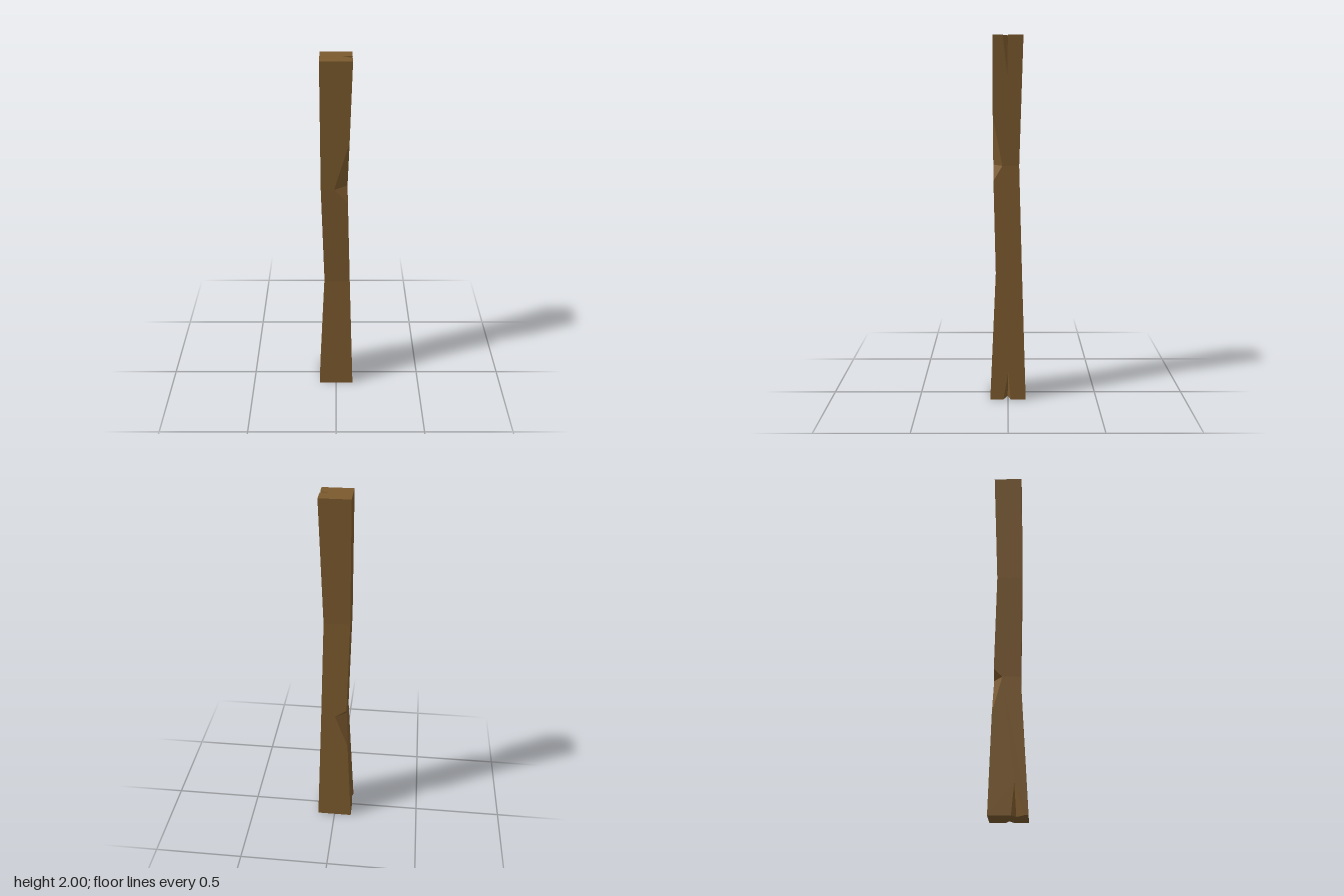
import * as THREE from 'three';

// Cross-sections of the crooked post: height, x range, z range
const sections = [
  { y: 0, x: [-0.1, 0.1], z: [-0.1, 0.1] },
  { y: 0.73, x: [-0.065, 0.077], z: [-0.077, 0.067] },
  { y: 1.32, x: [-0.08, 0.06], z: [-0.06, 0.08] },
  { y: 2, x: [-0.081, 0.08], z: [-0.08, 0.081] },
];

// Maps (u, y, w), with u and w running -1..1 across the section, onto the post
function place([u, y, w]) {
  let i = 0;
  while (i < 2 && y > sections[i + 1].y) i++;
  const a = sections[i], b = sections[i + 1];
  const k = (y - a.y) / (b.y - a.y);
  const across = (axis, t) => THREE.MathUtils.lerp(
    THREE.MathUtils.lerp(a[axis][0], b[axis][0], k),
    THREE.MathUtils.lerp(a[axis][1], b[axis][1], k), (t + 1) / 2);
  return new THREE.Vector3(across('x', u), y, across('z', w));
}

export function createModel() {
  const positions = [];

  // One triangle, wound so that its front faces the target point
  function triangle(corners, target) {
    const p = corners.map(place);
    const normal = p[1].clone().sub(p[0]).cross(p[2].clone().sub(p[0]));
    if (normal.dot(target.clone().sub(p[0])) < 0) p.reverse();
    p.forEach((v) => positions.push(v.x, v.y, v.z));
  }

  // Flat outline, triangulated in 2D and lifted onto the post
  function panel(outline, lift, target) {
    const flat = outline.map(([s, t]) => new THREE.Vector2(s, t));
    if (THREE.ShapeUtils.isClockWise(flat)) flat.reverse();
    for (const f of THREE.ShapeUtils.triangulateShape(flat, [])) {
      triangle(f.map((i) => lift(flat[i].x, flat[i].y)), target);
    }
  }

  const front = (t, y) => [t, y, 1];
  const back = (t, y) => [t, y, -1];
  const right = (t, y) => [1, y, t];
  const left = (t, y) => [-1, y, t];
  const outward = (x, y, z) => new THREE.Vector3(x, y, z).multiplyScalar(50);

  // Side walls, three bands each, with the outlines of chips and cracks cut in
  const walls = [
    [front, outward(0, 0, 1), [
      [[-1, 0], [1, 0], [1, 0.73], [-1, 0.73]],
      [[-1, 0.73], [1, 0.73], [1, 1.24], [0, 1.32], [-1, 1.32]],
      [[-1, 1.32], [0, 1.32], [1, 1.58], [1, 2], [-1, 2]],
    ]],
    [right, outward(1, 0, 0), [
      [[-1, 0], [-0.15, 0], [0, 0.16], [0.25, 0], [1, 0], [1, 0.73], [-1, 0.73]],
      [[-1, 0.73], [1, 0.73], [1, 1.24], [0.29, 1.32], [-1, 1.32]],
      [[-1, 1.32], [0.29, 1.32], [1, 1.58], [1, 2], [0.34, 2], [0, 1.8], [0, 2], [-1, 2]],
    ]],
    [back, outward(0, 0, -1), [
      [[-1, 0], [1, 0], [1, 0.73], [-0.1, 0.73], [-1, 0.53]],
      [[-0.1, 0.73], [1, 0.73], [1, 1.32], [-1, 1.32], [-1, 0.775]],
      [[-1, 1.32], [1, 1.32], [1, 2], [-1, 2]],
    ]],
    [left, outward(-1, 0, 0), [
      [[-1, 0], [0.15, 0], [0.35, 0.16], [0.8, 0], [1, 0], [1, 0.73], [-0.35, 0.73], [-1, 0.53]],
      [[-0.35, 0.73], [1, 0.73], [1, 1.32], [-1, 1.32], [-1, 0.775]],
      [[-1, 1.32], [1, 1.32], [1, 2], [-1, 2]],
    ]],
  ];
  for (const [lift, target, bands] of walls) {
    for (const band of bands) panel(band, lift, target);
  }

  // End caps, indented where the cracks run in
  panel([[-1, -1], [1, -1], [1, 0], [0.43, 0], [1, 0.34], [1, 1], [-1, 1]],
    (u, w) => [u, 2, w], outward(0, 1, 0));
  panel([[-1, -1], [1, -1], [1, -0.15], [0.55, 0.02], [1, 0.25], [1, 1],
    [-1, 1], [-1, 0.8], [-0.55, 0.4], [-1, 0.15]],
  (u, w) => [u, 0, w], outward(0, -1, 0));

  // Cracks: two walls meeting at an inner edge, each facing the other
  const cracks = [
    { a: [1, 2, 0], b: [1, 2, 0.34], inner: [0.43, 2, 0], tip: [1, 1.8, 0] },
    { a: [1, 0, -0.15], b: [1, 0, 0.25], inner: [0.55, 0, 0.02], tip: [1, 0.16, 0] },
    { a: [-1, 0, 0.15], b: [-1, 0, 0.8], inner: [-0.55, 0, 0.4], tip: [-1, 0.16, 0.35] },
  ];
  for (const { a, b, inner, tip } of cracks) {
    triangle([a, inner, tip], place(b));
    triangle([b, inner, tip], place(a));
  }

  // Chipped corners: a long and a short facet, facing the lost corner
  const chips = [
    { p: [0, 1.32, 1], q: [1, 1.32, 0.29], ends: [[1, 1.24, 1], [1, 1.58, 1]], corner: [1, 1.32, 1] },
    { p: [-0.1, 0.73, -1], q: [-1, 0.73, -0.35], ends: [[-1, 0.53, -1], [-1, 0.775, -1]], corner: [-1, 0.73, -1] },
  ];
  for (const { p, q, ends, corner } of chips) {
    for (const end of ends) triangle([p, q, end], place(corner));
  }

  const geometry = new THREE.BufferGeometry();
  geometry.setAttribute('position', new THREE.Float32BufferAttribute(positions, 3));
  geometry.computeVertexNormals();

  const post = new THREE.Mesh(geometry,
    new THREE.MeshStandardMaterial({ color: 0x7a592d, flatShading: true }));
  post.name = 'woodenPost';
  const group = new THREE.Group();
  group.name = 'post';
  group.add(post);
  return group;
}
